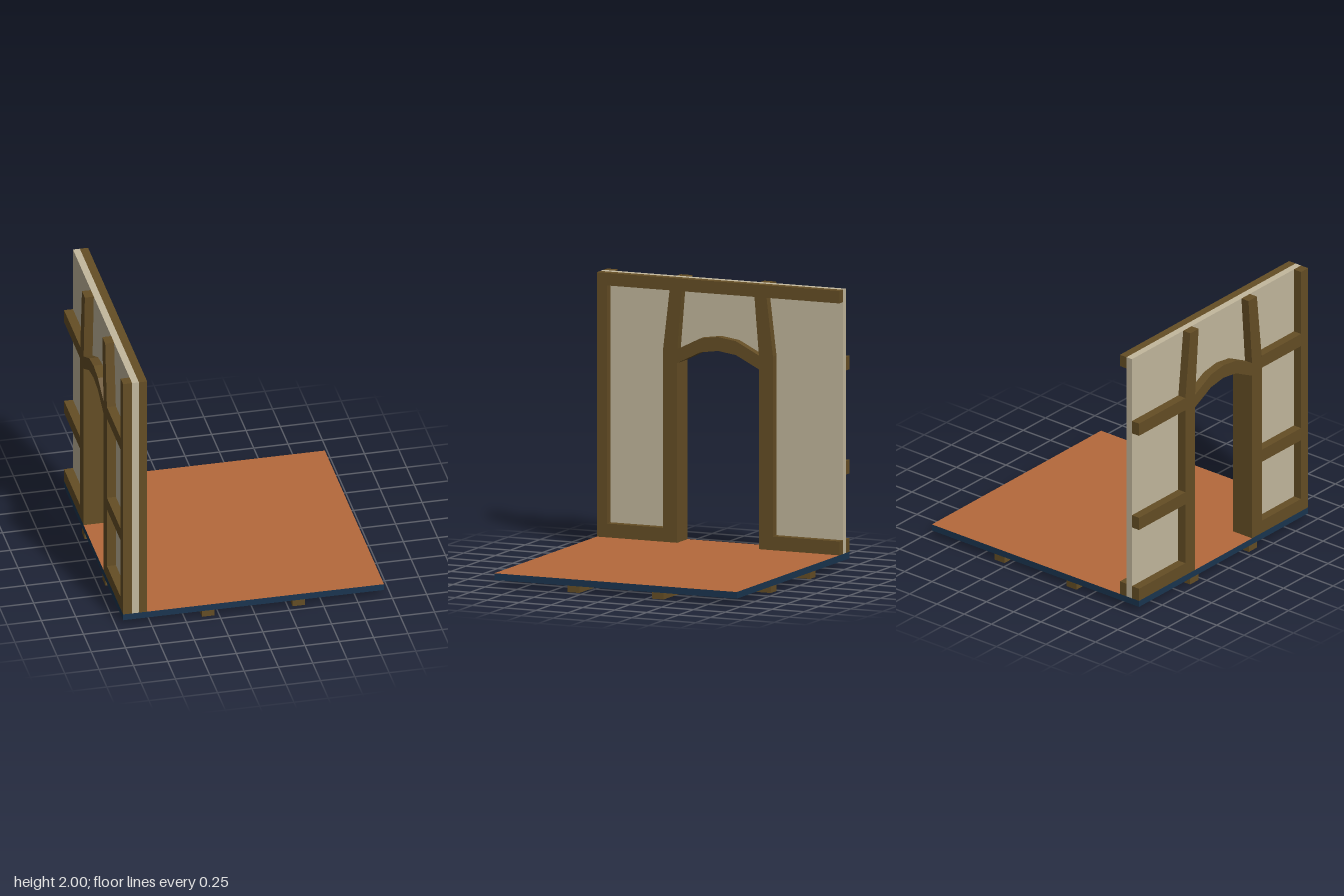
import * as THREE from 'three';

const paint = (color) => new THREE.MeshStandardMaterial({ color, flatShading: true });
const wood = paint(0x654e25);
const plaster = paint(0xc3b89d);
const tile = paint(0xb5693b);
const slate = paint(0x1a3550);

// Wall layers along x, floor levels and half the side length
const OUT = -0.95, SKIN_OUT = -0.885, SKIN_IN = -0.835, IN = -0.775;
const FLOOR = 0.095, SLAB = 0.047, H = 0.95, TOP = 2;

export function createModel() {
  const model = new THREE.Group();

  const add = (name, geometry, material, parent = model) => {
    const mesh = new THREE.Mesh(geometry, material);
    mesh.name = name;
    parent.add(mesh);
    return mesh;
  };
  const group = (name) => {
    const g = new THREE.Group();
    g.name = name;
    model.add(g);
    return g;
  };
  // Box given by its limits on each axis
  const block = (name, [x0, x1], [y0, y1], [z0, z1], material, parent) => {
    const g = new THREE.BoxGeometry(x1 - x0, y1 - y0, z1 - z0);
    g.translate((x0 + x1) / 2, (y0 + y1) / 2, (z0 + z1) / 2);
    return add(name, g, material, parent);
  };
  // Outline of [z, y] points extruded through the wall from x0 to x1
  const slab = (name, points, [x0, x1], material, parent) => {
    const shape = new THREE.Shape(points.map(([z, y]) => new THREE.Vector2(z, y)));
    const g = new THREE.ExtrudeGeometry(shape, { depth: x1 - x0, bevelEnabled: false });
    g.rotateY(-Math.PI / 2).translate(x1, 0, 0);
    return add(name, g, material, parent);
  };

  // Floor slab: tiled top, dark edges and underside
  block('floor', [-H, H], [SLAB, FLOOR], [-H, H], [slate, slate, tile, slate, slate, slate]);

  // Crossed joists under the floor
  const joists = group('floorJoists');
  for (const p of [-0.33, 0.33]) {
    block('joistAlongX', [-H, H], [0, SLAB], [p - 0.046, p + 0.046], wood, joists);
    block('joistAlongZ', [p - 0.046, p + 0.046], [0, SLAB], [-H, H], wood, joists);
  }

  // Plaster panel with the doorway cut out
  slab('plasterWall', [
    [-H, FLOOR], [-0.37, FLOOR], [-0.37, 1.42], [-0.14, 1.53], [0, 1.55], [0.14, 1.53],
    [0.37, 1.42], [0.37, FLOOR], [H, FLOOR], [H, TOP], [-H, TOP],
  ], [SKIN_OUT, SKIN_IN], plaster);

  // Door frame, as deep as the whole wall
  const door = group('doorFrame');
  const curve = [[-0.32, 1.39], [-0.14, 1.48], [0, 1.5], [0.14, 1.48], [0.32, 1.39]];
  const crown = curve.map(([z, y]) => [z, y + 0.1]).reverse();
  slab('doorArch', [...curve, ...crown], [OUT, IN], wood, door);
  for (const s of [-1, 1]) {
    block('doorPost', [OUT, IN], [FLOOR, 1.49],
      [Math.min(s * 0.32, s * 0.43), Math.max(s * 0.32, s * 0.43)], wood, door);
  }

  // Leaning braces and horizontal rails on both faces
  const timbers = group('wallTimbers');
  for (const s of [-1, 1]) {
    const brace = (top, zIn, zOut) =>
      [[s * 0.32, 1.49], [s * 0.43, 1.49], [s * zOut, top], [s * zIn, top]];
    slab('innerBrace', brace(1.91, 0.285, 0.38), [SKIN_IN, IN], wood, timbers);
    slab('outerBrace', brace(TOP, 0.28, 0.374), [OUT, SKIN_OUT], wood, timbers);

    const span = s > 0 ? [0.43, H] : [-H, -0.43];
    block('innerSill', [SKIN_IN, IN], [FLOOR, 0.195], span, wood, timbers);
    for (const y of [FLOOR, 0.66, 1.41]) {
      block('outerRail', [OUT, SKIN_OUT], [y, y + 0.097], span, wood, timbers);
    }
  }

  // Header on the inner face, corner posts at the front end only
  block('innerHeader', [SKIN_IN, IN], [1.91, TOP], [-H, H], wood, timbers);
  block('innerCornerPost', [SKIN_IN, IN], [FLOOR, 1.91], [0.87, H], wood, timbers);
  block('outerCornerPost', [OUT, SKIN_OUT], [FLOOR, TOP], [0.87, H], wood, timbers);

  return model;
}
